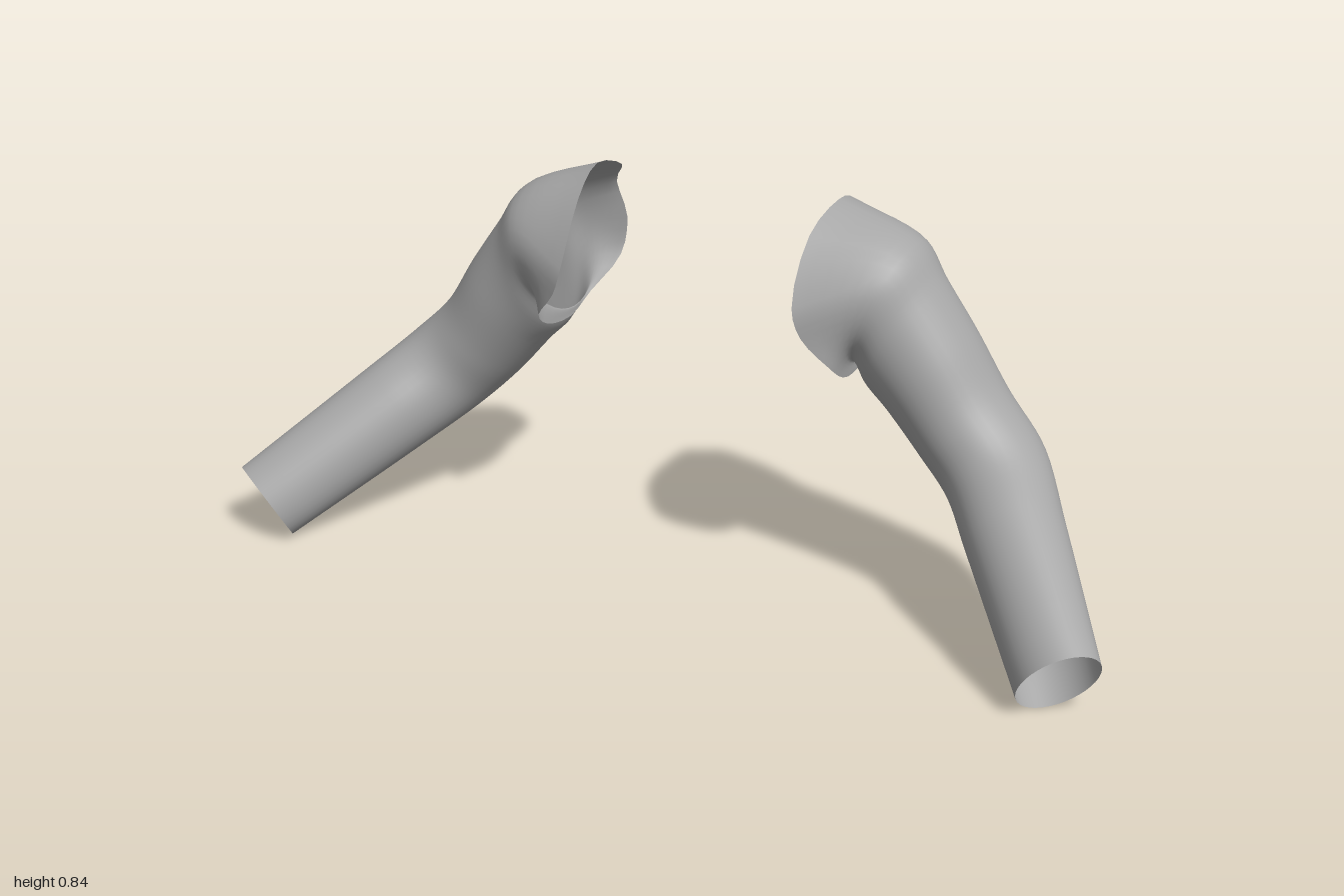
import * as THREE from 'three';

const SIDES = 36, ROWS = 40;

// Uneven shoulder opening, going front, bottom, back, top
const SHOULDER = [
  [0.285, 0.60, 0.06], [0.335, 0.54, 0.035], [0.345, 0.50, -0.02], [0.34, 0.49, -0.11],
  [0.34, 0.52, -0.20], [0.31, 0.585, -0.285], [0.30, 0.67, -0.297], [0.32, 0.75, -0.287],
  [0.275, 0.81, -0.23], [0.28, 0.838, -0.13], [0.265, 0.79, -0.02], [0.265, 0.66, 0.06],
];

// Sleeve sections: centre, direction, front-back radius, up-down radius
const SECTIONS = [
  [[0.395, 0.64, -0.132], [0.93, -0.37, 0], 0.148, 0.143],
  [[0.435, 0.58, -0.13], [0.86, -0.5, 0], 0.13, 0.137],
  [[0.495, 0.505, -0.13], [0.74, -0.67, 0], 0.125, 0.122],
  [[0.57, 0.405, -0.127], [0.70, -0.71, 0.08], 0.12, 0.111],
  [[0.65, 0.325, -0.10], [0.65, -0.65, 0.36], 0.115, 0.11],
  [[0.74, 0.24, 0.012], [0.54, -0.51, 0.68], 0.10, 0.105],
  [[0.92, 0.073, 0.245], [0.54, -0.51, 0.68], 0.075, 0.093],
];

function sectionPoint([centre, direction, rv, rw], angle) {
  const t = new THREE.Vector3(...direction).normalize();
  const v = new THREE.Vector3(0, 0, 1).addScaledVector(t, -t.z).normalize();
  const w = new THREE.Vector3().crossVectors(t, v);
  return new THREE.Vector3(...centre)
    .addScaledVector(v, rv * Math.cos(angle))
    .addScaledVector(w, rw * Math.sin(angle));
}

// Open tube lofted from the shoulder rim to the wrist; side is 1 or -1
function sleeveGeometry(side) {
  const rim = new THREE.CatmullRomCurve3(SHOULDER.map((p) => new THREE.Vector3(...p)), true);
  const positions = [], index = [];
  for (let j = 0; j < SIDES; j++) {
    const angle = (j / SIDES) * Math.PI * 2;
    const strand = new THREE.CatmullRomCurve3([
      rim.getPoint(j / SIDES),
      ...SECTIONS.map((s) => sectionPoint(s, angle)),
    ]);
    for (let i = 0; i <= ROWS; i++) {
      const p = strand.getPoint(i / ROWS);
      positions.push(p.x * side, p.y, p.z);
    }
  }
  for (let j = 0; j < SIDES; j++) {
    for (let i = 0; i < ROWS; i++) {
      const a = j * (ROWS + 1) + i;
      const b = ((j + 1) % SIDES) * (ROWS + 1) + i;
      if (side > 0) index.push(a, b, a + 1, b, b + 1, a + 1);
      else index.push(a, a + 1, b, b, a + 1, b + 1);
    }
  }
  const geometry = new THREE.BufferGeometry();
  geometry.setAttribute('position', new THREE.Float32BufferAttribute(positions, 3));
  geometry.setIndex(index);
  geometry.computeVertexNormals();
  return geometry;
}

export function createModel() {
  const model = new THREE.Group();
  model.name = 'sleeves';
  const cloth = new THREE.MeshStandardMaterial({ color: 0xa6a6a6, side: THREE.DoubleSide });
  cloth.name = 'grey cloth';
  for (const side of [1, -1]) {
    const sleeve = new THREE.Mesh(sleeveGeometry(side), cloth);
    sleeve.name = side > 0 ? 'leftSleeve' : 'rightSleeve';
    model.add(sleeve);
  }
  return model;
}
